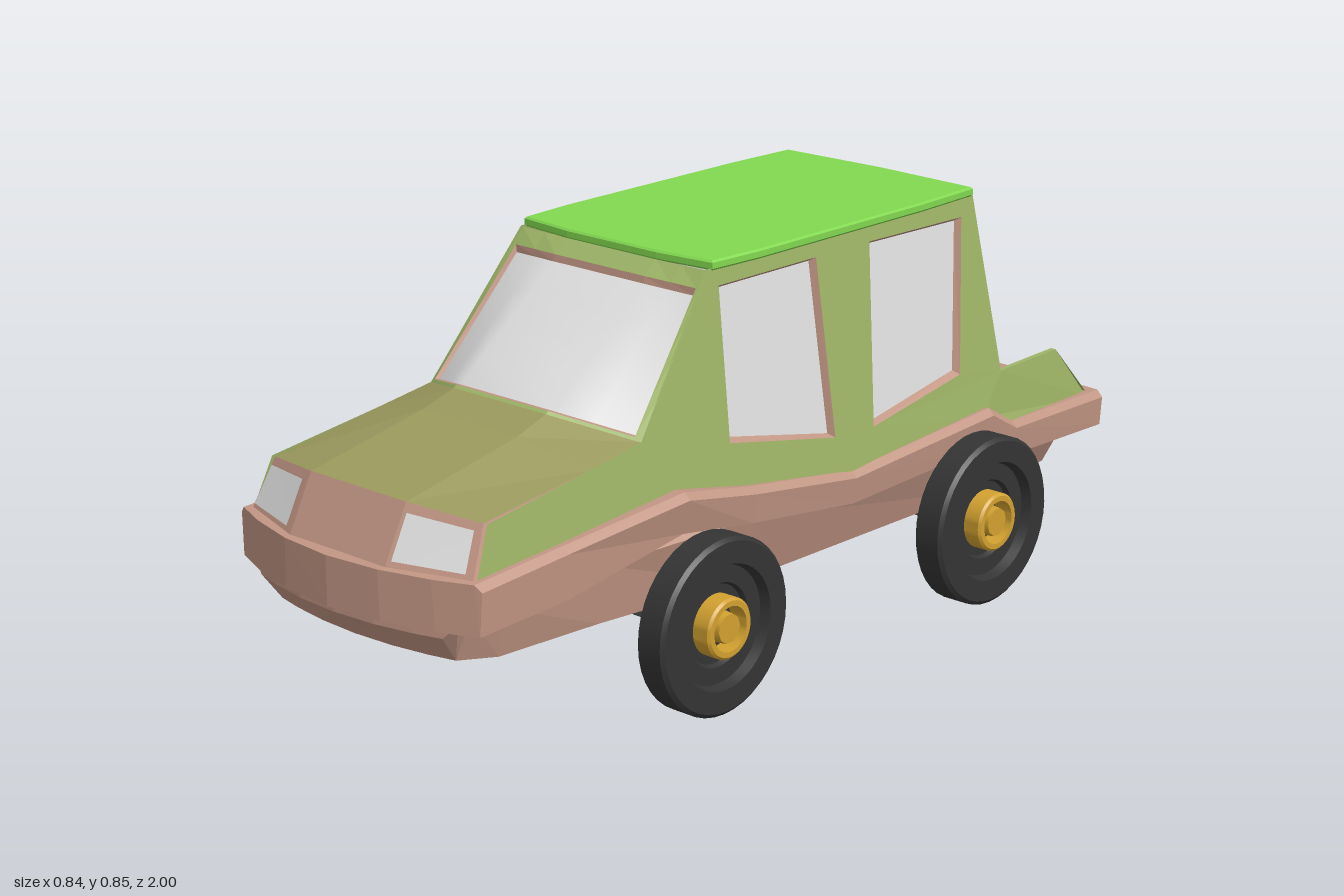
import * as THREE from 'three';
import { toCreasedNormals } from 'three/addons/utils/BufferGeometryUtils.js';

const mat = (name, color, extra = {}) => Object.assign(new THREE.MeshStandardMaterial({ color, ...extra }), { name });
const flat = { flatShading: true, side: THREE.DoubleSide };

export function createModel() {
  const M = {
    brown: mat('clay brown', 0xc29684, flat),
    green: mat('moss green', 0x9eb567, flat),
    olive: mat('olive', 0x9b9a5e, flat),
    roof: mat('bright green', 0x82d850, flat),
    glass: mat('pale glass', 0xe0e0e0, { side: THREE.DoubleSide }),
    tyre: mat('tyre black', 0x343434),
    metal: mat('axle grey', 0x606060),
    gold: mat('hub gold', 0xd2a130),
  };
  const car = new THREE.Group();
  car.name = 'car';
  const add = (name, geo, material, parent = car) => {
    const m = new THREE.Mesh(geo, material);
    m.name = name;
    parent.add(m);
    return m;
  };
  const build = (name, material, points, idx) => {
    const g = new THREE.BufferGeometry();
    g.setAttribute('position', new THREE.Float32BufferAttribute(points.flat(), 3));
    g.setIndex(idx);
    g.computeVertexNormals();
    return add(name, g, material);
  };

  // grid of points -> surface
  const patch = (name, material, rows) => {
    const n = rows[0].length, idx = [];
    for (let r = 0; r < rows.length - 1; r++)
      for (let c = 0; c < n - 1; c++) {
        const a = r * n + c, b = a + n;
        idx.push(a, b, a + 1, a + 1, b, b + 1);
      }
    return build(name, material, rows.flat(), idx);
  };
  // band between two closed loops
  const ring = (name, material, a, b) => patch(name, material, [[...a, a[0]], [...b, b[0]]]);

  // closed loft through sections [z, lowX, lowY, highX, highY, bow], front to back, with a chamfered top edge
  const loft = (name, material, sections) => {
    const c = .014, across = [0, .4, .75, 1];
    const loops = sections.map(([z, xl, yl, xh, yh, bow = 0]) => {
      const half = [...across.map(t => [t * xl, yl]), [xh, yh - c],
        ...across.map(t => [t * (xh - c), yh]).reverse()];
      const left = half.slice(1, -1).reverse().map(([x, y]) => [-x, y]);
      return [...half, ...left].map(([x, y]) => [x, y, z - bow * (x / .33) ** 2]);
    });
    const n = 16, idx = [], last = (loops.length - 1) * n;
    for (let s = 0; s < loops.length - 1; s++)
      for (let i = 0; i < n; i++) {
        const a = s * n + i, a2 = s * n + (i + 1) % n;
        idx.push(a, a + n, a2, a2, a + n, a2 + n);
      }
    // end caps as upright strips
    for (const o of [0, last])
      for (let k = 0; k < 4; k++) {
        const right = [k, k + 1, 7 - k, k, 7 - k, 8 - k];
        const left = right.map(i => (n - i) % n).reverse();
        const tris = [...right, ...left].map(i => o + i);
        idx.push(...(o ? tris.reverse() : tris));
      }
    return build(name, material, loops.flat(), idx);
  };

  // lower body: wavy belt and underbody tub
  loft('beltBand', M.brown, [
    [1, .325, .30, .33, .40, .08], [.70, .325, .31, .33, .415], [.38, .32, .355, .338, .44],
    [.18, .32, .325, .329, .40], [-.13, .315, .285, .324, .355], [-.57, .32, .305, .329, .385],
    [-.66, .315, .26, .322, .335], [-1, .305, .25, .31, .327, -.02],
  ]);
  loft('underbody', M.brown, [
    [.985, .25, .285, .28, .33, .07], [.935, .24, .228, .27, .33, .06], [.80, .245, .207, .27, .32],
    [.55, .26, .205, .28, .34], [.15, .26, .18, .305, .34],
    [-.60, .26, .18, .305, .30], [-.85, .25, .185, .29, .27], [-.94, .2, .23, .28, .27],
  ]);

  // cabin sides lean inward with height and pinch toward the tail
  const wallX = (z, y) => .25 + (.83 - y) * .13 - Math.max(0, -z - .62) * .1;
  const onWall = (pts, side, off) => pts.map(([z, y]) => [side * (wallX(z, y) + off), y, z]);
  const grow = (pts, d) => {
    const cx = pts.reduce((s, p) => s + p[0], 0) / 4, cy = pts.reduce((s, p) => s + p[1], 0) / 4;
    return pts.map(([x, y]) => [x + Math.sign(x - cx) * d, y + Math.sign(y - cy) * d]);
  };
  const vecs = pts => pts.map(p => new THREE.Vector2(...p));
  const wall = [[.915, .385], [.87, .495], [.60, .53], [.46, .55], [.24, .835], [-.58, .835], [-.63, .45],
    [-.85, .445], [-.96, .315], [-.66, .315], [-.56, .365], [-.13, .34], [.18, .38], [.38, .42]];
  const windows = {
    Front: [[.20, .79], [-.07, .79], [-.08, .44], [.21, .50]],
    Rear: [[-.25, .79], [-.53, .785], [-.485, .48], [-.215, .435]],
  };
  for (const s of [1, -1]) {
    const label = s > 0 ? 'left' : 'right';
    const shape = new THREE.Shape(vecs(wall));
    for (const [k, pts] of Object.entries(windows)) {
      const hole = grow(pts, .008), inset = onWall(pts, s, -.014);
      shape.holes.push(new THREE.Path(vecs(hole)));
      ring(`${label}${k}WindowReveal`, M.brown, onWall(hole, s, 0), inset);
      patch(`${label}${k}Window`, M.glass, [[inset[0], inset[1]], [inset[3], inset[2]]]);
    }
    const g = new THREE.ShapeGeometry(shape), p = g.attributes.position;
    for (let i = 0; i < p.count; i++) p.setXYZ(i, ...onWall([[p.getX(i), p.getY(i)]], s, 0)[0]);
    if (s > 0) g.setIndex([...g.index.array].reverse());
    g.computeVertexNormals();
    add(label + 'BodySide', g, M.green);
    // bed rails: narrow top edge and sloping inner face
    const rail = [[-.62, .45], [-.85, .445], [-.96, .325]];
    patch(label + 'BedRail', M.green, [
      onWall(rail, s, 0), onWall(rail, s, -.012),
      rail.map(([z], i) => [s * [.235, .235, .26][i], .325, z]),
    ]);
  }

  // hood and nose, four columns across
  const across = (outer, inner) => [
    [-outer[0], outer[1], outer[2]], [-inner[0], inner[1], inner[2]], inner, outer];
  const noseTop = [[.285, .495, .87], [.13, .512, .915]];
  const noseLow = [[.303, .395, .918], [.13, .395, .975]];
  const cowl = [[.287, .55, .46], [.125, .592, .55]];
  const header = [[.25, .832, .235], [.12, .832, .24]];
  patch('nose', M.brown, [across(...noseTop), across(...noseLow)]);
  patch('hood', M.olive, [across(...cowl), across([.289, .53, .60], [.128, .567, .63]), across(...noseTop)]);

  // point on a half strip: u inner to outer, v bottom to top
  const onStrip = (low, high, u, v, off, s) => {
    const mix = (a, b, t) => a.map((k, i) => k + (b[i] - k) * t);
    const p = mix(mix(low[1], low[0], u), mix(high[1], high[0], u), v);
    return [s * p[0], p[1] + off * .6, p[2] + off * .8];
  };

  // windscreen: frame, sloping reveal and glass on a ruled surface
  const steps = [0, .25, .5, .75, 1];
  const screenRow = (u, v, off) => [[1, -1], [.5, -1], [0, -1], [0, 1], [.5, 1], [1, 1]].map(
    ([t, s]) => onStrip(cowl, header, t * u, v, off, s));
  const screenRows = (u, v0, v1, off) => steps.map(t => screenRow(u, v0 + (v1 - v0) * t, off));
  const border = rows => [...rows[0], ...rows.slice(1, -1).map(r => r[5]),
    ...rows[4].slice().reverse(), ...rows.slice(1, -1).reverse().map(r => r[0])];
  const opening = border(screenRows(.92, .02, .89, 0));
  const glassRows = screenRows(.89, .035, .855, -.01);
  ring('windscreenFrame', M.green, border(screenRows(1, 0, 1, 0)), opening);
  ring('windscreenReveal', M.brown, opening, border(glassRows));
  patch('windscreen', M.glass, glassRows);

  // headlights
  for (const s of [1, -1]) {
    const lamp = (name, material, d, off) => patch(name, material, [.84 + d, .13 - d].map(v =>
      [.08 - d, .93 + d].map(u => onStrip(noseLow, noseTop, u, v, off, s))));
    lamp('headlightTrim', M.brown, .03, .003);
    lamp('headlight', M.glass, 0, .007);
  }

  // rear wall and window
  const rearLoop = (top, bottom, off) => [[1, top], [-1, top], [-1, bottom], [1, bottom]].map(
    ([s, [x, y]]) => [s * x, y, -.58 - (.83 - y) * .13 - off]);
  const rearHole = rearLoop([.228, .80], [.256, .49], 0);
  const rearGlass = rearLoop([.22, .79], [.247, .50], -.012);
  ring('rearWall', M.green, rearLoop([.25, .832], [.30, .40], 0), rearHole);
  ring('rearWindowReveal', M.brown, rearHole, rearGlass);
  patch('rearWindow', M.glass, [[rearGlass[0], rearGlass[1]], [rearGlass[3], rearGlass[2]]]);
  patch('rearSill', M.green, [[[.25, .465, -.625], [-.25, .465, -.625]], [[.24, .455, -.65], [-.24, .455, -.65]]]);

  // striped sloping bed floor
  const edges = [-.24, -.125, -.10, -.04, 0, .025, .075, .24];
  for (let i = 0; i < edges.length - 1; i++)
    patch('bedRamp', i % 2 ? M.brown : M.olive, [[.455, -.65], [.385, -.72], [.345, -.80], [.333, -.855]].map(
      ([y, z]) => [[edges[i], y, z], [edges[i + 1], y, z]]));

  // roof slab with bowed ends and softened edges
  const roofShape = new THREE.Shape(vecs([[.25, .222], [.12, .236], [-.12, .236], [-.25, .222], [-.258, .1],
    [-.258, -.4], [-.25, -.572], [0, -.581], [.25, -.572], [.258, -.4], [.258, .1]]));
  const roofGeo = new THREE.ExtrudeGeometry(roofShape,
    { depth: .012, bevelEnabled: true, bevelSize: .004, bevelThickness: .004, bevelSegments: 1 });
  add('roof', roofGeo.rotateX(Math.PI / 2), M.roof).position.y = .846;

  // tow hitch
  const box = (name, w, h, d, x, y, z) => add(name, new THREE.BoxGeometry(w, h, d), M.brown).position.set(x, y, z);
  box('hitchBar', .09, .02, .10, .12, .222, -.89);
  for (const x of [.09, .15]) box('hitchProng', .025, .024, .06, x, .21, -.95);

  // wheels and axles
  const lathe = pts => toCreasedNormals(new THREE.LatheGeometry(vecs(pts), 40), .6);
  const tyreGeo = lathe([[0, -.02], [.12, -.02], [.125, -.035], [.172, -.035], [.18, -.028], [.18, .028],
    [.172, .035], [.127, .035], [.12, .014], [.085, .014], [.08, .004], [0, .004]]);
  const hubRing = lathe([[.062, 0], [.062, .04], [.057, .045], [.046, .045], [.046, 0]]);
  for (const z of [.355, -.475]) {
    const axle = add('axle', new THREE.CylinderGeometry(.032, .032, .66, 24), M.metal);
    axle.rotation.z = Math.PI / 2;
    axle.position.set(0, .18, z);
    for (const s of [1, -1]) {
      const wheel = new THREE.Group();
      wheel.name = 'wheel';
      wheel.position.set(s * .375, .18, z);
      wheel.rotation.z = -s * Math.PI / 2;
      add('tyre', tyreGeo, M.tyre, wheel);
      add('hubRing', hubRing, M.gold, wheel);
      add('hubCap', new THREE.CylinderGeometry(.03, .034, .04, 10), M.gold, wheel).position.y = .022;
      add('axleCone', new THREE.CylinderGeometry(.073, .064, .075, 32), M.metal, wheel).position.y = -.0555;
      car.add(wheel);
    }
  }
  return car;
}
